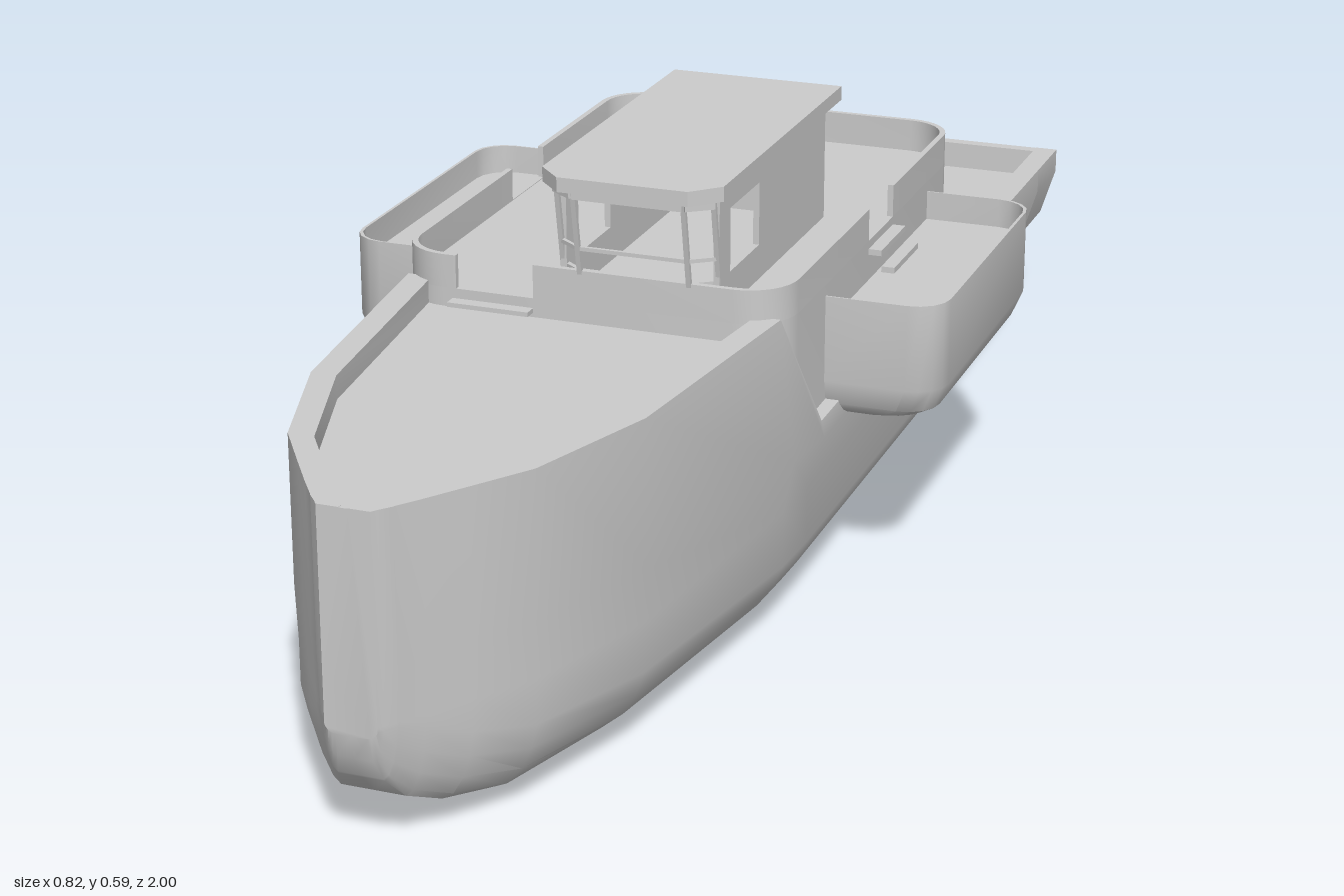
import * as THREE from 'three';
import { toCreasedNormals } from 'three/addons/utils/BufferGeometryUtils.js';

const V = (x, y, z) => new THREE.Vector3(x, y, z);
const paint = new THREE.MeshStandardMaterial({ color: 0xcccccc });
paint.name = 'grey paint';

function add(parent, name, geometry) {
  const mesh = new THREE.Mesh(geometry, paint);
  mesh.name = name;
  parent.add(mesh);
  return mesh;
}

function box(parent, name, x0, x1, y0, y1, z0, z1) {
  const g = new THREE.BoxGeometry(x1 - x0, y1 - y0, z1 - z0);
  return add(parent, name, g.translate((x0 + x1) / 2, (y0 + y1) / 2, (z0 + z1) / 2));
}

// Square bar between two points
function beam(parent, name, a, b, size) {
  const g = new THREE.BoxGeometry(size, size, a.distanceTo(b));
  g.lookAt(b.clone().sub(a));
  const mid = a.clone().add(b).multiplyScalar(0.5);
  return add(parent, name, g.translate(mid.x, mid.y, mid.z));
}

// Closed skin through rings of equal length, capped at both ends
function loft(rings, project) {
  const n = rings[0].length, index = [];
  for (let i = 0; i < rings.length - 1; i++) {
    for (let j = 0; j < n; j++) {
      const a = i * n + j, b = i * n + (j + 1) % n;
      index.push(a, b, b + n, a, b + n, a + n);
    }
  }
  const last = (rings.length - 1) * n;
  THREE.ShapeUtils.triangulateShape(rings[0].map(project), []).forEach(([a, b, c]) => index.push(a, c, b));
  THREE.ShapeUtils.triangulateShape(rings.at(-1).map(project), []).forEach(([a, b, c]) => index.push(last + a, last + b, last + c));
  const g = new THREE.BufferGeometry().setFromPoints(rings.flat());
  g.setIndex(index);
  return toCreasedNormals(g, 0.6);
}

// Plan outline ([x, z] points) raised from y0 to y1
function slab(points, y0, y1, hole) {
  const toV2 = ([x, z]) => new THREE.Vector2(x, -z);
  const shape = new THREE.Shape(points.map(toV2));
  if (hole) shape.holes.push(new THREE.Path(hole.map(toV2)));
  const g = new THREE.ExtrudeGeometry(shape, { depth: y1 - y0, bevelEnabled: false });
  return toCreasedNormals(g.rotateX(-Math.PI / 2).translate(0, y0, 0), 0.6);
}

// Hull section: half outline from keel to deck centre, mirrored to a full ring
function mirrored(half, z) {
  const right = half.map(([x, y]) => V(x, y, z));
  const left = half.slice(1, -1).reverse().map(([x, y]) => V(-x, y, z));
  return [...right, ...left];
}

function buildHull(group) {
  // z, keel height, body half width, knuckle half width, rail half width, rail top, deck
  const stations = [
    [-0.885, 0.02, 0.258, 0.28, 0.28, 0.275, 0.235],
    [-0.5, 0.002, 0.258, 0.28, 0.28, 0.275, 0.235],
    [0.2, 0.002, 0.258, 0.28, 0.276, 0.262, 0.235],
    [0.29, 0.005, 0.256, 0.27, 0.25, 0.425, 0.395],
    [0.65, 0.016, 0.207, 0.214, 0.21, 0.425, 0.395],
    [0.83, 0.024, 0.147, 0.15, 0.15, 0.425, 0.395],
    [0.9, 0.04, 0.1, 0.103, 0.103, 0.425, 0.395],
    [0.95, 0.065, 0.066, 0.069, 0.069, 0.425, 0.395],
    [0.978, 0.095, 0.047, 0.049, 0.049, 0.425, 0.395],
    [0.98, 0.098, 0.046, 0.048, 0.048, 0.425, 0.4245],
    [0.993, 0.125, 0.036, 0.037, 0.037, 0.425, 0.4245],
    [1, 0.155, 0.032, 0.032, 0.032, 0.425, 0.4245],
  ];
  const rings = stations.map(([z, b, w, k, t, top, deck]) => {
    const h = Math.min(0.09, 0.165 - b), inner = Math.max(t - 0.033, 0.005);
    return mirrored([
      [0, b], [w * 0.6, b], [w * 0.74, b + h * 0.1], [w * 0.87, b + h * 0.35], [w * 0.95, b + h * 0.66],
      [w, b + h], [w, 0.17], [k, 0.24], [t, top], [inner, top], [inner, deck], [0, deck],
    ], z);
  });
  const flat = (p) => new THREE.Vector2(p.x, p.y);
  add(group, 'hull', loft(rings, flat));

  // Overhanging stern, closed by a transom
  const stern = (z, deck) => mirrored([
    [0, 0.17], [0.258, 0.17], [0.28, 0.24], [0.28, 0.275], [0.247, 0.275], [0.247, deck], [0, deck],
  ], z);
  add(group, 'stern', loft([stern(-1, 0.2745), stern(-0.981, 0.2745), stern(-0.98, 0.235), stern(-0.885, 0.235)], flat));
}

const HALF_X = 0.258, MID_Z = -0.08, HALF_Z = 0.39, RADIUS = 0.065;

// One rounded corner of the deckhouse, inset by t
function corner(sx, sz, t) {
  const points = [];
  for (let i = 0; i <= 8; i++) {
    const a = (i / 8) * Math.PI / 2, r = RADIUS - t;
    const u = sz > 0 ? Math.sin(a) : Math.cos(a), v = sz > 0 ? Math.cos(a) : Math.sin(a);
    points.push([sx * (HALF_X - RADIUS + r * u), MID_Z + sz * (HALF_Z - RADIUS + r * v)]);
  }
  return points;
}

function buildDeckhouse(group) {
  const wall = 0.008;
  const front = (t) => MID_Z + HALF_Z - t, back = (t) => MID_Z - HALF_Z + t, side = (t) => HALF_X - t;
  const band = (path, y0, y1) => slab([...path(0), ...path(wall).reverse()], y0, y1);
  const sweep = (sx, sz, t, reverse) => (reverse ? corner(sx, sz, t).reverse() : corner(sx, sz, t));

  // Lower wall, open at the aft doorway
  add(group, 'deckhouseWall', band((t) => [
    [-0.055, back(t)], ...sweep(1, -1, t, true), ...sweep(1, 1, t, true),
    ...sweep(-1, 1, t), ...sweep(-1, -1, t), [-0.16, back(t)],
  ], 0.225, 0.42));
  box(group, 'doorLintel', -0.16, -0.055, 0.365, 0.42, back(0), back(wall));

  // Upper bulwark in three runs, leaving gaps at the steps
  add(group, 'frontBulwark', band((t) => [[-0.07, front(t)], ...sweep(1, 1, t), [side(t), -0.05]], 0.42, 0.464));
  add(group, 'aftBulwark', band((t) => [
    [side(t), -0.16], ...sweep(1, -1, t), ...sweep(-1, -1, t, true), [-side(t), -0.16],
  ], 0.42, 0.464));
  add(group, 'sideBulwark', band((t) => [[-side(t), -0.05], ...sweep(-1, 1, t, true), [-0.175, front(t)]], 0.42, 0.464));

  // Upper deck with its hatch
  const outline = [...corner(1, 1, 0.002), ...corner(1, -1, 0.002),
    ...corner(-1, -1, 0.002).reverse(), ...corner(-1, 1, 0.002).reverse()];
  add(group, 'upperDeck', slab(outline, 0.41, 0.419,
    [[-0.165, -0.38], [-0.055, -0.38], [-0.055, -0.27], [-0.165, -0.27]]));

  // Stair between doorway and hatch
  for (let i = 0; i < 6; i++) {
    const y = 0.255 + i * 0.028, z = -0.44 + i * 0.03;
    box(group, 'stairTread', -0.155, -0.06, y, y + 0.006, z - 0.012, z + 0.012);
  }
  for (const x of [-0.157, -0.107, -0.058]) beam(group, 'stairStringer', V(x, 0.24, -0.455), V(x, 0.41, -0.275), 0.006);

  // Outside steps at the front and both sides
  for (const [i, y] of [0.407, 0.385].entries()) {
    const out = i * 0.018;
    box(group, 'frontStep', -0.18, -0.07, y - 0.006, y, 0.31 + out, 0.328 + out);
    for (const s of [-1, 1]) {
      const x = s * (HALF_X + 0.009 + out);
      box(group, 'sideStep', x - 0.009, x + 0.009, y - 0.006, y + 0.002, -0.16, -0.05);
    }
  }
}

// Side platform with a rounded lower edge and a thin raised rim
function buildSidePod(group, s) {
  const ring = (y, inset) => {
    const r = 0.045, x1 = 0.41 - inset, z0 = -0.33 + inset * 0.6, z1 = 0.135 - inset * 0.6;
    const points = [V(s * 0.25, y, z1)];
    for (const [cz, start] of [[z1 - r, 0], [z0 + r, Math.PI / 2]]) {
      for (let i = 0; i <= 4; i++) {
        const a = start + (i / 4) * Math.PI / 2;
        points.push(V(s * (x1 - r + r * Math.sin(a)), y, cz + r * Math.cos(a)));
      }
    }
    points.push(V(s * 0.25, y, z0));
    return s > 0 ? points : points.reverse();
  };
  const levels = [[0.24, 0.05], [0.247, 0.03], [0.258, 0.013], [0.29, 0], [0.405, 0], [0.405, 0.004], [0.365, 0.004]];
  add(group, s > 0 ? 'leftPod' : 'rightPod',
    loft(levels.map(([y, inset]) => ring(y, inset)), (p) => new THREE.Vector2(p.x, -p.z)));
}

function buildWheelhouse(group) {
  // Side walls with window openings
  for (const x of [-0.04, 0.162]) {
    const shape = new THREE.Shape([[-0.13, 0.415], [0.29, 0.415], [0.29, 0.58], [-0.13, 0.58]].map((p) => new THREE.Vector2(...p)));
    shape.holes.push(new THREE.Path([[0.14, 0.465], [0.14, 0.548], [0.25, 0.548], [0.25, 0.465]].map((p) => new THREE.Vector2(...p))));
    const g = new THREE.ExtrudeGeometry(shape, { depth: 0.008, bevelEnabled: false });
    add(group, 'wheelhouseSide', g.rotateY(-Math.PI / 2).translate(x + 0.008, 0, 0));
  }
  box(group, 'wheelhouseBack', -0.04, 0.17, 0.415, 0.58, -0.13, -0.122);

  // Faceted front: sill wall, leaning posts, rails and header
  const plan = [[-0.038, 0.285], [-0.007, 0.308], [0.137, 0.308], [0.168, 0.285]];
  const inner = plan.map(([x, z]) => [x, z - 0.008]).reverse();
  add(group, 'frontSill', slab([...plan, ...inner], 0.415, 0.464));
  const at = (i, y) => V(plan[i][0], y, plan[i][1] + 0.022 * Math.max(0, (y - 0.465) / 0.11));
  for (let i = 0; i < 4; i++) {
    beam(group, 'windowPost', at(i, 0.46), at(i, 0.58), 0.006);
    if (i === 3) continue;
    beam(group, 'windowRail', at(i, 0.495), at(i + 1, 0.495), 0.005);
    beam(group, 'windowHeader', at(i, 0.571), at(i + 1, 0.571), 0.013);
  }

  // Overhanging roof with cut front corners
  add(group, 'wheelhouseRoof', slab([
    [-0.053, -0.155], [0.184, -0.155], [0.184, 0.315], [0.15, 0.35], [-0.02, 0.35], [-0.053, 0.315],
  ], 0.577, 0.596));
}

export function createModel() {
  const model = new THREE.Group();
  model.name = 'boat';
  const parts = {
    hullGroup: buildHull,
    deckhouse: buildDeckhouse,
    sidePods: (g) => [1, -1].forEach((s) => buildSidePod(g, s)),
    wheelhouse: buildWheelhouse,
  };
  for (const [name, build] of Object.entries(parts)) {
    const group = new THREE.Group();
    group.name = name;
    build(group);
    model.add(group);
  }
  return model;
}
